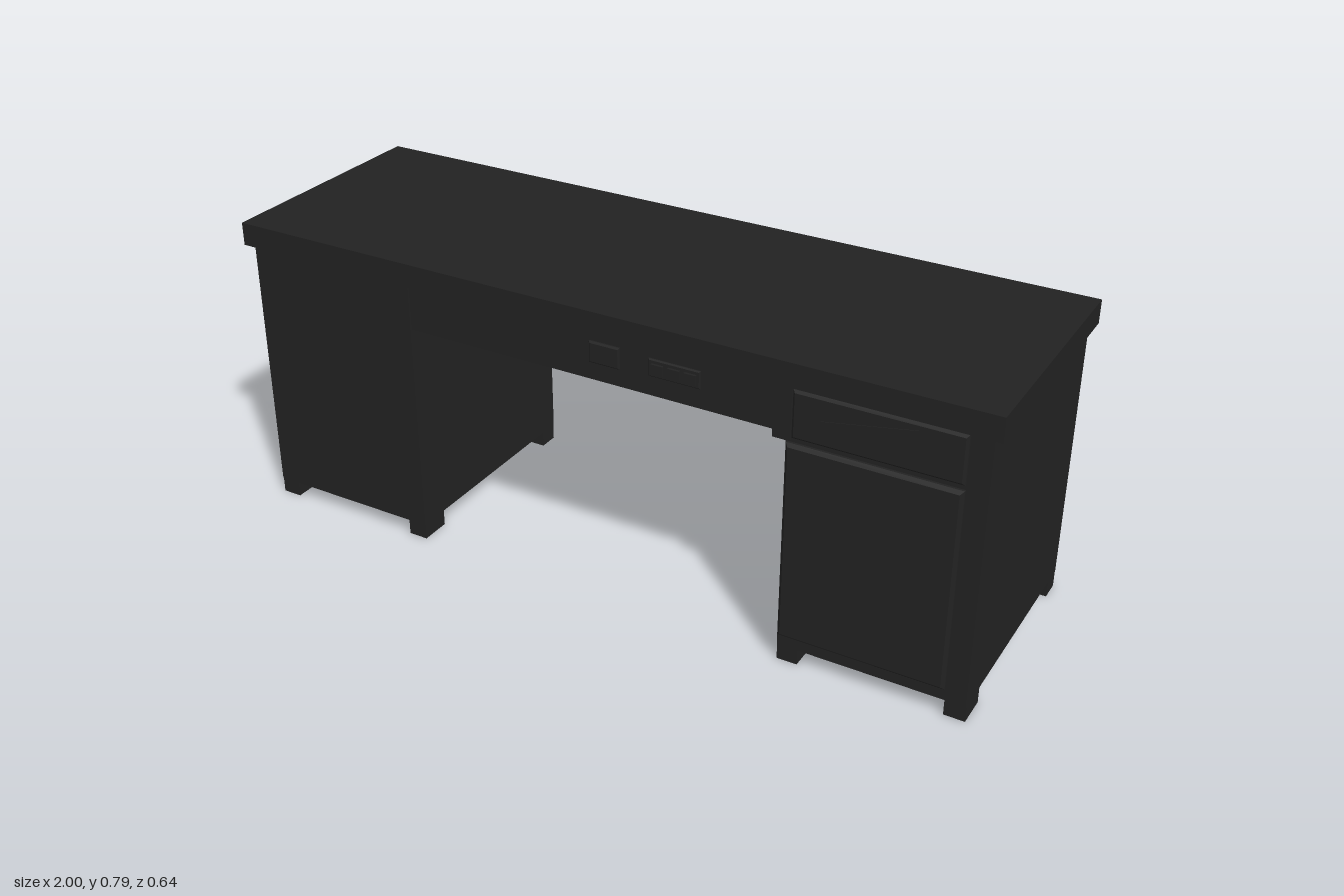
import * as THREE from 'three';

const black = new THREE.MeshStandardMaterial({ color: 0x222222 });
black.name = 'blackWood';

export function createModel() {
  const desk = new THREE.Group();
  desk.name = 'desk';

  // box given by its two extremes on each axis
  const box = (name, x0, x1, y0, y1, z0, z1, parent = desk) => {
    const mesh = new THREE.Mesh(new THREE.BoxGeometry(x1 - x0, y1 - y0, z1 - z0), black);
    mesh.position.set((x0 + x1) / 2, (y0 + y1) / 2, (z0 + z1) / 2);
    mesh.name = name;
    parent.add(mesh);
    return mesh;
  };

  // front plate with softened edges, built from a bevelled outline
  const plate = (name, x0, x1, y0, y1, z0, z1, bevel) => {
    const s = new THREE.Shape();
    s.moveTo(x0 + bevel, y0 + bevel);
    s.lineTo(x1 - bevel, y0 + bevel);
    s.lineTo(x1 - bevel, y1 - bevel);
    s.lineTo(x0 + bevel, y1 - bevel);
    s.closePath();
    const geometry = new THREE.ExtrudeGeometry(s, {
      depth: z1 - z0 - bevel, bevelEnabled: true, bevelThickness: bevel, bevelSize: bevel, bevelSegments: 1,
    });
    const mesh = new THREE.Mesh(geometry, black);
    mesh.position.z = z0;
    mesh.name = name;
    desk.add(mesh);
  };

  // table top
  box('tableTop', -1, 1, 0.73, 0.79, -0.318, 0.318);

  // two pedestals with feet and a framed, recessed back
  for (const [side, x0, x1] of [['right', -0.98, -0.503], ['left', 0.513, 0.98]]) {
    const pedestal = new THREE.Group();
    pedestal.name = side + 'Pedestal';
    desk.add(pedestal);
    box('cabinet', x0, x1, 0.042, 0.73, -0.3, 0.302, pedestal);
    for (const [a, b] of [[x0, x0 + 0.042], [x1 - 0.042, x1]])
      box('backPost', a, b, 0.042, 0.73, -0.312, -0.3, pedestal);
    box('backTopRail', x0 + 0.042, x1 - 0.042, 0.7, 0.73, -0.312, -0.3, pedestal);
    box('backBottomRail', x0 + 0.042, x1 - 0.042, 0.042, 0.07, -0.312, -0.3, pedestal);
    for (const [a, b] of [[x0, x0 + 0.052], [x1 - 0.052, x1]]) {
      box('frontFoot', a, b, 0, 0.042, 0.22, 0.3, pedestal);
      box('backFoot', a, b, 0, 0.042, -0.31, -0.256, pedestal);
    }
  }

  // centre drawer housing between the pedestals
  box('centreHousing', -0.503, 0.513, 0.605, 0.73, -0.297, 0.295);
  box('backTopRail', -0.503, 0.513, 0.705, 0.73, -0.308, -0.297);
  box('backLock', 0.0, 0.055, 0.64, 0.7, -0.31, -0.295);

  // drawer, door and corner post on the left pedestal front
  plate('drawerFront', 0.53, 0.928, 0.605, 0.725, 0.3, 0.316, 0.006);
  plate('door', 0.516, 0.928, 0.075, 0.59, 0.3, 0.316, 0.008);
  box('cornerPost', 0.932, 0.98, 0.042, 0.73, 0.3, 0.308);
  box('drawerSidePost', 0.483, 0.526, 0.595, 0.73, 0.29, 0.31);

  // slim wedge pull on the drawer
  const wedge = new THREE.Shape();
  wedge.moveTo(0.6, 0.668);
  wedge.lineTo(0.82, 0.668);
  wedge.lineTo(0.82, 0.708);
  wedge.closePath();
  const pull = new THREE.Mesh(new THREE.ExtrudeGeometry(wedge, { depth: 0.003, bevelEnabled: false }), black);
  pull.position.z = 0.315;
  pull.name = 'drawerPull';
  desk.add(pull);

  // keyhole plate and handle on the centre drawer
  plate('keyholePlate', 0.008, 0.09, 0.65, 0.705, 0.293, 0.302, 0.004);
  plate('handlePlate', 0.165, 0.298, 0.655, 0.7, 0.293, 0.3, 0.003);
  for (let i = 0; i < 3; i++)
    box('handleGrip', 0.175 + i * 0.042, 0.205 + i * 0.042, 0.665, 0.69, 0.298, 0.306);

  return desk;
}
